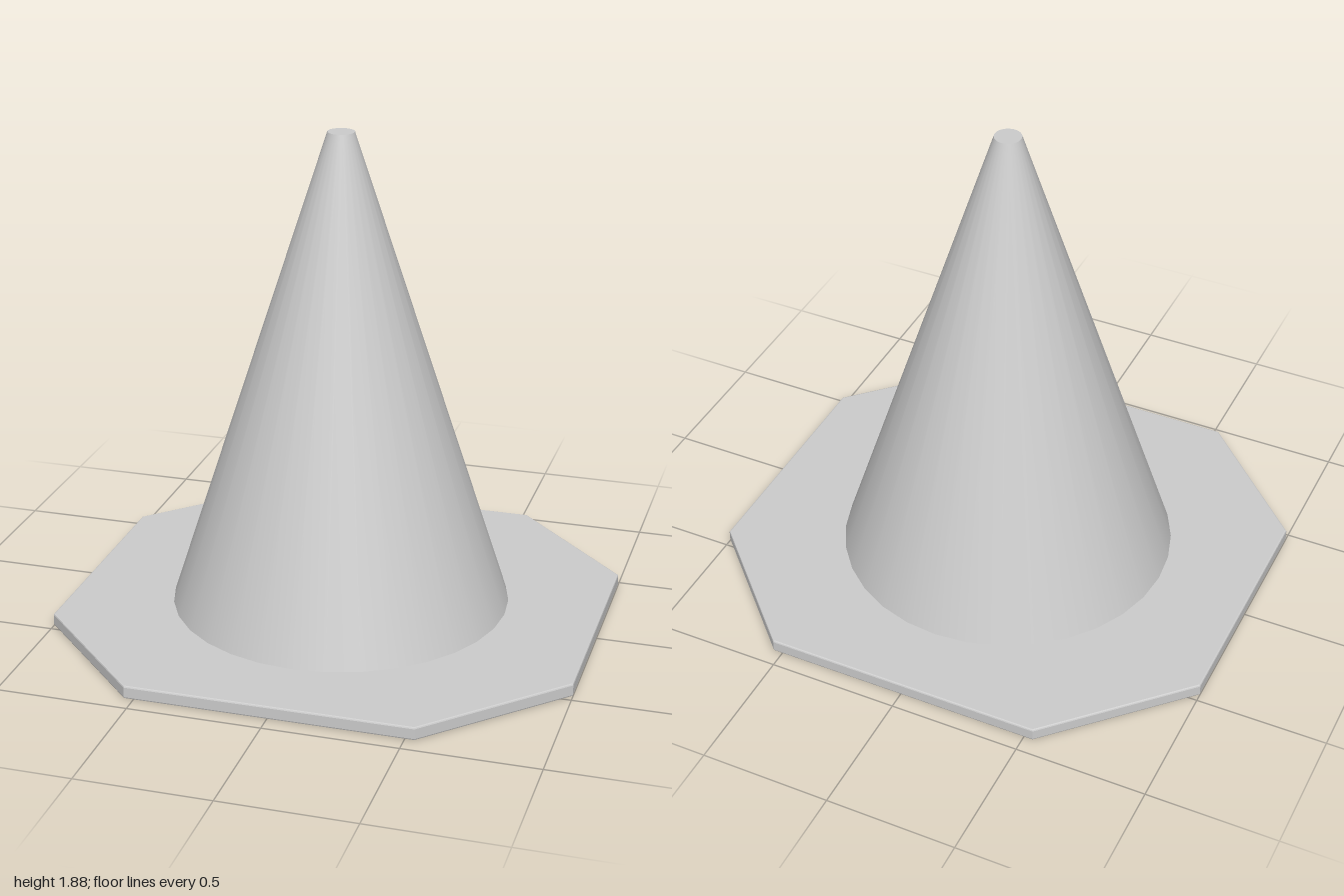
import * as THREE from 'three';

const BASE_HEIGHT = 0.05;
const TOTAL_HEIGHT = 1.885;
const BEVEL = 0.006;

export function createModel() {
  const group = new THREE.Group();
  group.name = 'trafficCone';
  const material = new THREE.MeshStandardMaterial({ color: 0xcccccc });

  // Octagonal foot plate with slightly softened edges
  const corners = [
    [1, -0.47], [1, 0.47], [0.535, 0.935], [-0.535, 0.935],
    [-1, 0.47], [-1, -0.47], [-0.535, -0.935], [0.535, -0.935],
  ];
  const outline = new THREE.Shape(corners.map(([x, y]) => new THREE.Vector2(x, y)));
  const plate = new THREE.ExtrudeGeometry(outline, {
    depth: BASE_HEIGHT - 2 * BEVEL,
    bevelThickness: BEVEL,
    bevelSize: BEVEL,
    bevelOffset: -BEVEL,
    bevelSegments: 2,
  });
  plate.rotateX(-Math.PI / 2);
  plate.translate(0, BEVEL, 0);
  const base = new THREE.Mesh(plate, material);
  base.name = 'basePlate';
  group.add(base);

  // Smooth tapered body with a small flat tip
  const height = TOTAL_HEIGHT - BASE_HEIGHT;
  const cone = new THREE.CylinderGeometry(0.05, 0.645, height, 32);
  cone.translate(0, BASE_HEIGHT + height / 2, 0);
  const body = new THREE.Mesh(cone, material);
  body.name = 'coneBody';
  group.add(body);

  return group;
}
